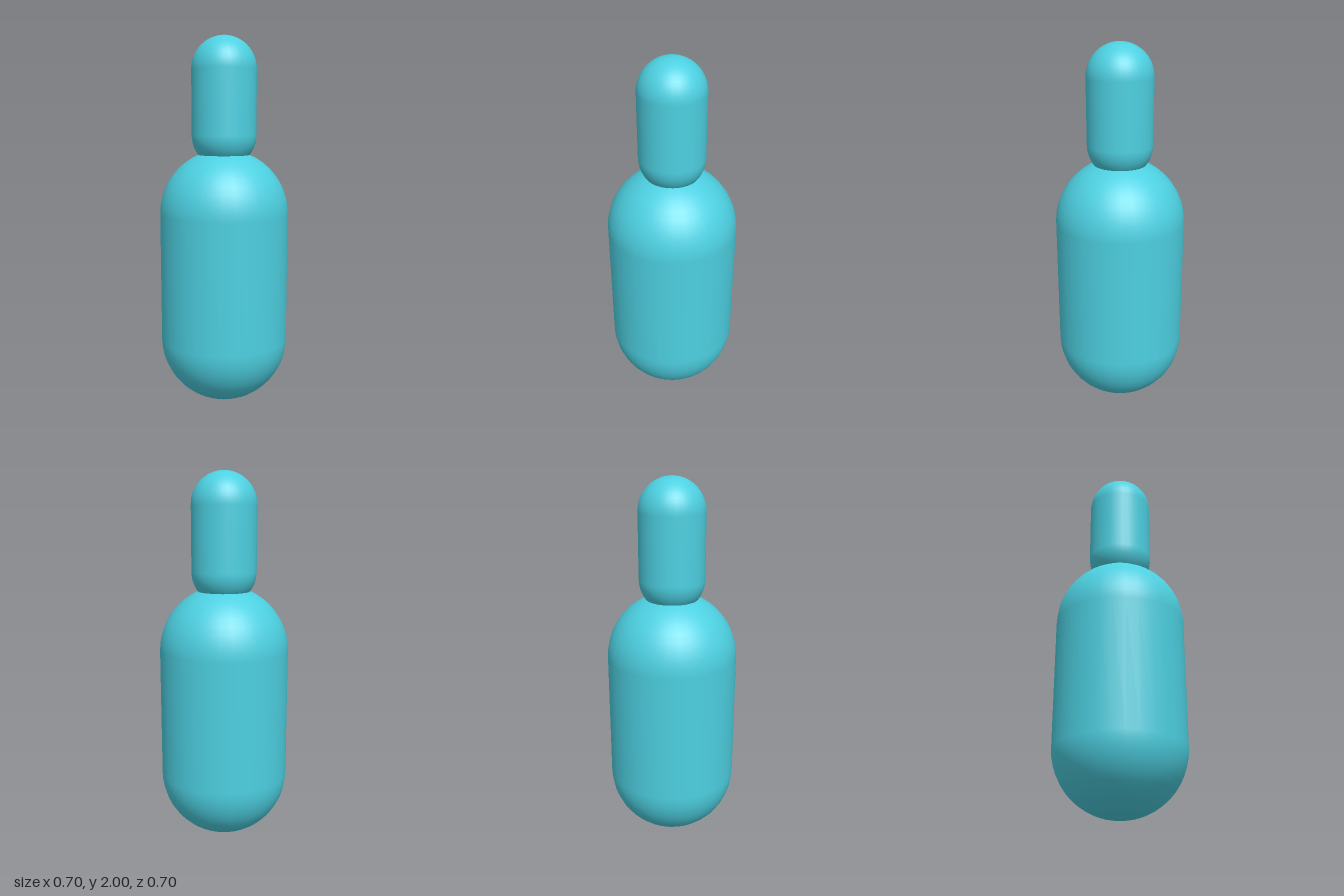
import * as THREE from 'three';

export function createModel() {
  const model = new THREE.Group();
  const material = new THREE.MeshStandardMaterial({ color: 0x4dd0e1 });

  // Upright capsule, twice as tall as it is wide
  function addCapsule(name, radius, bottom) {
    const mesh = new THREE.Mesh(
      new THREE.CapsuleGeometry(radius, radius * 2, 12, 32), material);
    mesh.name = name;
    mesh.position.y = bottom + radius * 2;
    model.add(mesh);
  }

  addCapsule('body', 0.35, 0);
  // Half-size head, sunk a little into the top of the body
  addCapsule('head', 0.175, 1.3);

  return model;
}
